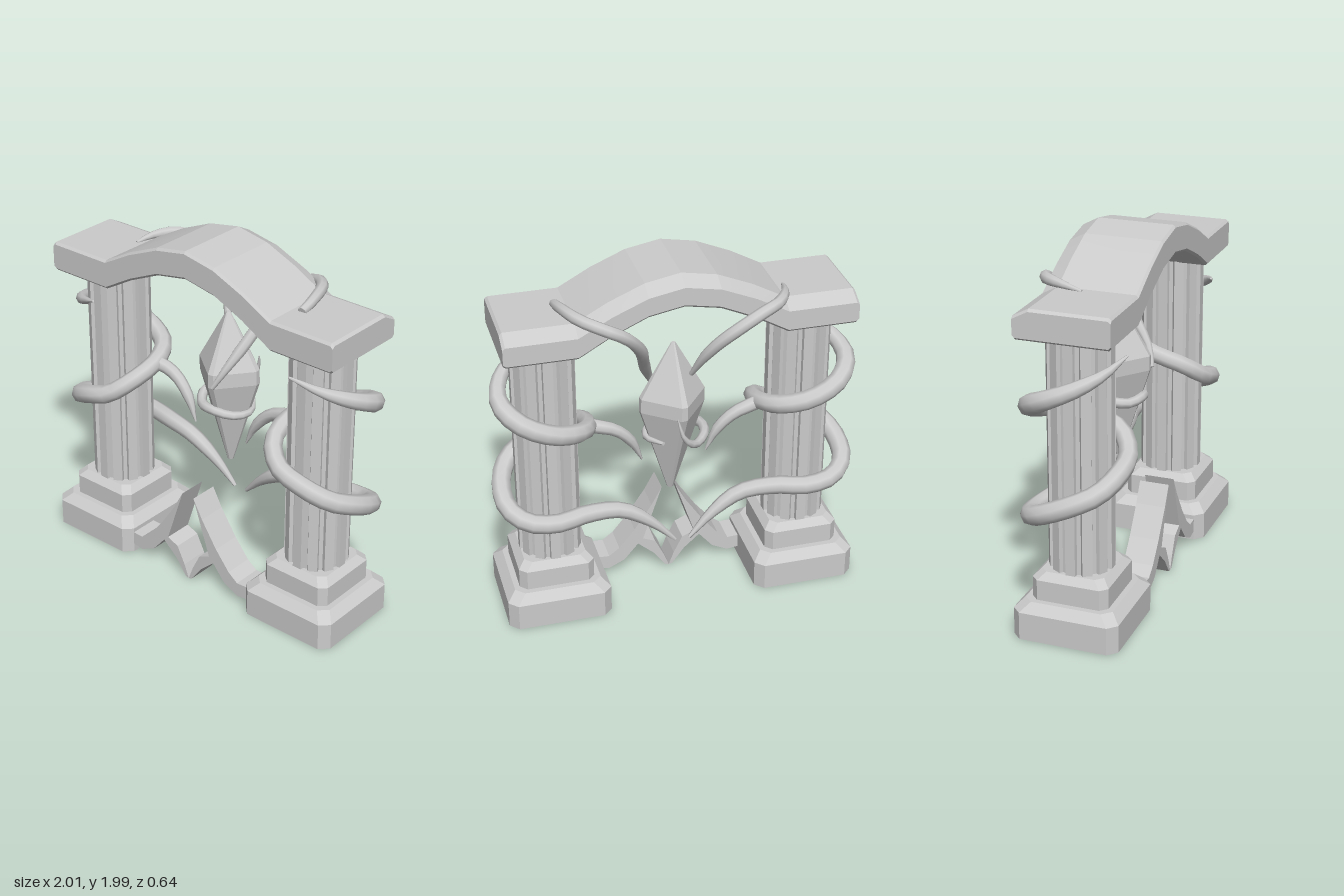
import * as THREE from 'three';
import { toCreasedNormals } from 'three/addons/utils/BufferGeometryUtils.js';

const V = (x, y, z) => new THREE.Vector3(x, y, z);
const material = new THREE.MeshStandardMaterial({ color: 0xcccccc });
const CZ = 0.035; // depth centre of the columns

// Skin a list of equal-length closed rings, cap both ends, face outwards
function loft(rings, crease) {
  const n = rings[0].length, tris = [];
  for (let i = 0; i < rings.length - 1; i++) {
    for (let j = 0; j < n; j++) {
      const k = (j + 1) % n;
      const a = rings[i][j], b = rings[i][k], c = rings[i + 1][k], d = rings[i + 1][j];
      tris.push([a, b, c], [a, c, d]);
    }
  }
  const last = rings[rings.length - 1];
  for (let j = 1; j < n - 1; j++) {
    tris.push([rings[0][0], rings[0][j + 1], rings[0][j]], [last[0], last[j], last[j + 1]]);
  }
  let volume = 0;
  for (const [a, b, c] of tris) volume += a.dot(b.clone().cross(c));
  const points = tris.flatMap(([a, b, c]) => (volume < 0 ? [a, c, b] : [a, b, c]));
  return toCreasedNormals(new THREE.BufferGeometry().setFromPoints(points), crease);
}

// Tapering vine through points; radii are spread evenly along the path
function vine(points, radii, steps) {
  const curve = new THREE.CatmullRomCurve3(points, false, 'centripetal');
  const frames = curve.computeFrenetFrames(steps);
  const rings = [];
  for (let i = 0; i <= steps; i++) {
    const t = i / steps, f = t * (radii.length - 1), k = Math.min(Math.floor(f), radii.length - 2);
    const r = THREE.MathUtils.lerp(radii[k], radii[k + 1], f - k);
    const centre = curve.getPointAt(t);
    rings.push(Array.from({ length: 8 }, (_, j) => {
      const a = (j / 8) * Math.PI * 2;
      return centre.clone()
        .addScaledVector(frames.normals[i], Math.cos(a) * r)
        .addScaledVector(frames.binormals[i], Math.sin(a) * r);
    }));
  }
  return loft(rings, 0.95);
}

// Square block with cut corners and a sloped upper rim
function plinth(cx, half, y0, y1, bevel) {
  const ring = (h, y) => {
    const c = h - bevel;
    return [[h, c], [c, h], [-c, h], [-h, c], [-h, -c], [-c, -h], [c, -h], [h, -c]]
      .map(([x, z]) => V(cx + x, y, CZ + z));
  };
  return loft([ring(half, y0), ring(half, y1 - bevel), ring(half - bevel, y1)], 0.3);
}

// Column shaft with square-cut flutes
function shaft(cx) {
  const outline = [], count = 12;
  for (let i = 0; i < count; i++) {
    for (const [t, r] of [[0, 0.173], [0.58, 0.173], [0.66, 0.153], [0.92, 0.153]]) {
      const a = ((i + t - 0.29) / count) * Math.PI * 2;
      outline.push([Math.cos(a) * r, Math.sin(a) * r]);
    }
  }
  return loft([0.33, 1.63].map((y) => outline.map(([x, z]) => V(cx + x, y, CZ + z))), 0.25);
}

// Arched beam: cross-sections along x with a sloped upper back edge
function lintel() {
  const half = [[0, 1.83, 1.985], [0.19, 1.795, 1.95], [0.38, 1.71, 1.87], [0.555, 1.61, 1.775],
    [0.925, 1.61, 1.775], [0.94, 1.622, 1.762]];
  const stations = [...half.slice(1).reverse().map(([x, b, t]) => [-x, b, t]), ...half];
  return loft(stations.map(([x, b, t]) => [
    V(x, b, 0.272), V(x, b + 0.013, 0.285), V(x, t - 0.013, 0.285), V(x, t, 0.272),
    V(x, t, -0.14), V(x, t - 0.045, -0.225), V(x, b + 0.013, -0.225), V(x, b, -0.212),
  ]), 0.12);
}

// Four-cornered crystal with narrow bevels along its edges
function crystal() {
  const section = (x, y, r, b) => {
    const ring = [];
    for (let i = 0; i < 4; i++) {
      const a = (i * Math.PI) / 2 - 0.12;
      for (const s of [-b, b]) ring.push(V(x + Math.cos(a + s) * r, y, -0.045 + Math.sin(a + s) * r));
    }
    return ring;
  };
  return loft([section(0.033, 0.65, 0.018, 0.3), section(0.024, 1.16, 0.182, 0.09),
    section(0.022, 1.24, 0.182, 0.09), section(0.015, 1.54, 0.012, 0.3)], 0.15);
}

// Forked flat thorn on the ground between the bases
function thorn(side) {
  const outline = [[0.04, 0.54], [0.1, 0.43], [0.2, 0.28], [0.29, 0.17], [0.35, 0.125], [0.45, 0.13],
    [0.45, 0.055], [0.35, 0.042], [0.26, 0.085], [0.18, 0.18], [0.09, 0.1], [0.02, 0.005],
    [0, 0], [0.03, 0.08], [0.08, 0.18], [0.15, 0.21], [0.09, 0.39]];
  const shape = new THREE.Shape(outline.map(([x, y]) => new THREE.Vector2(x * side, y)));
  return new THREE.ExtrudeGeometry(shape, { depth: 0.165, bevelEnabled: false }).translate(0, 0, 0.11);
}

export function createModel() {
  const model = new THREE.Group();
  const add = (name, geometry) => {
    const mesh = new THREE.Mesh(geometry, material);
    mesh.name = name;
    model.add(mesh);
  };

  add('archedLintel', lintel());
  add('crystal', crystal());

  for (const side of [1, -1]) {
    const label = side > 0 ? 'left' : 'right';
    const path = (list) => list.map(([x, y, z]) => V(x * side, y, z));
    add(label + 'Base', plinth(0.7 * side, 0.287, 0, 0.2, 0.048));
    add(label + 'UpperBase', plinth(0.7 * side, 0.208, 0.2, 0.35, 0.038));
    add(label + 'Shaft', shaft(0.7 * side));

    // Vine winding down the column, ending in a free tail
    add(label + 'ColumnVine', vine(path([
      [0.67, 1.5, 0.27], [0.82, 1.44, 0.2], [0.92, 1.38, 0.08], [0.945, 1.32, -0.06], [0.86, 1.25, -0.18],
      [0.7, 1.18, -0.21], [0.54, 1.13, -0.14], [0.475, 1.09, 0], [0.5, 1.03, 0.17], [0.6, 0.95, 0.25],
      [0.74, 0.9, 0.255], [0.88, 0.83, 0.19], [0.945, 0.77, 0.06], [0.94, 0.7, -0.1], [0.85, 0.65, -0.19],
      [0.7, 0.63, -0.21], [0.52, 0.635, -0.17], [0.33, 0.61, -0.15], [0.17, 0.51, -0.16], [0.04, 0.38, -0.175],
    ]), [0.006, 0.04, 0.055, 0.053, 0.05, 0.05, 0.054, 0.054, 0.052, 0.05, 0.042, 0.01], 48));
    add(label + 'VineBranch', vine(path([
      [0.5, 1.09, 0], [0.42, 1.075, -0.02], [0.33, 1.04, -0.02], [0.24, 0.95, -0.01], [0.18, 0.82, 0],
    ]), [0.042, 0.036, 0.03, 0.005], 9));
    add(label + 'GroundThorn', thorn(side));
  }

  // Vines hanging from the lintel and holding the crystal
  add('leftHangingVine', vine([
    V(0.61, 1.775, 0.1), V(0.6, 1.8, 0), V(0.53, 1.8, -0.17), V(0.42, 1.77, -0.25), V(0.32, 1.71, -0.24),
    V(0.22, 1.58, -0.15), V(0.16, 1.4, 0), V(0.11, 1.27, 0.1), V(0.06, 1.17, 0.14),
  ], [0.025, 0.032, 0.033, 0.034, 0.032, 0.012], 20));
  add('rightHangingVine', vine([
    V(-0.59, 1.775, 0), V(-0.57, 1.79, -0.1), V(-0.5, 1.79, -0.22), V(-0.4, 1.77, -0.27), V(-0.28, 1.71, -0.285),
    V(-0.18, 1.62, -0.25), V(-0.11, 1.51, -0.19), V(-0.06, 1.38, -0.12),
  ], [0.008, 0.03, 0.033, 0.034, 0.03, 0.012], 18));
  add('crystalTendril', vine([
    V(0.05, 1.2, -0.265), V(0.02, 1.09, -0.28), V(-0.05, 1.02, -0.24), V(-0.13, 1.02, -0.14), V(-0.14, 1.02, -0.03),
    V(-0.08, 1.0, 0.06), V(0.03, 1.01, 0.1), V(0.13, 0.99, 0.05), V(0.165, 0.985, -0.05), V(0.1, 1.0, -0.16),
  ], [0.004, 0.022, 0.028, 0.028, 0.024, 0.01], 22));

  return model;
}
